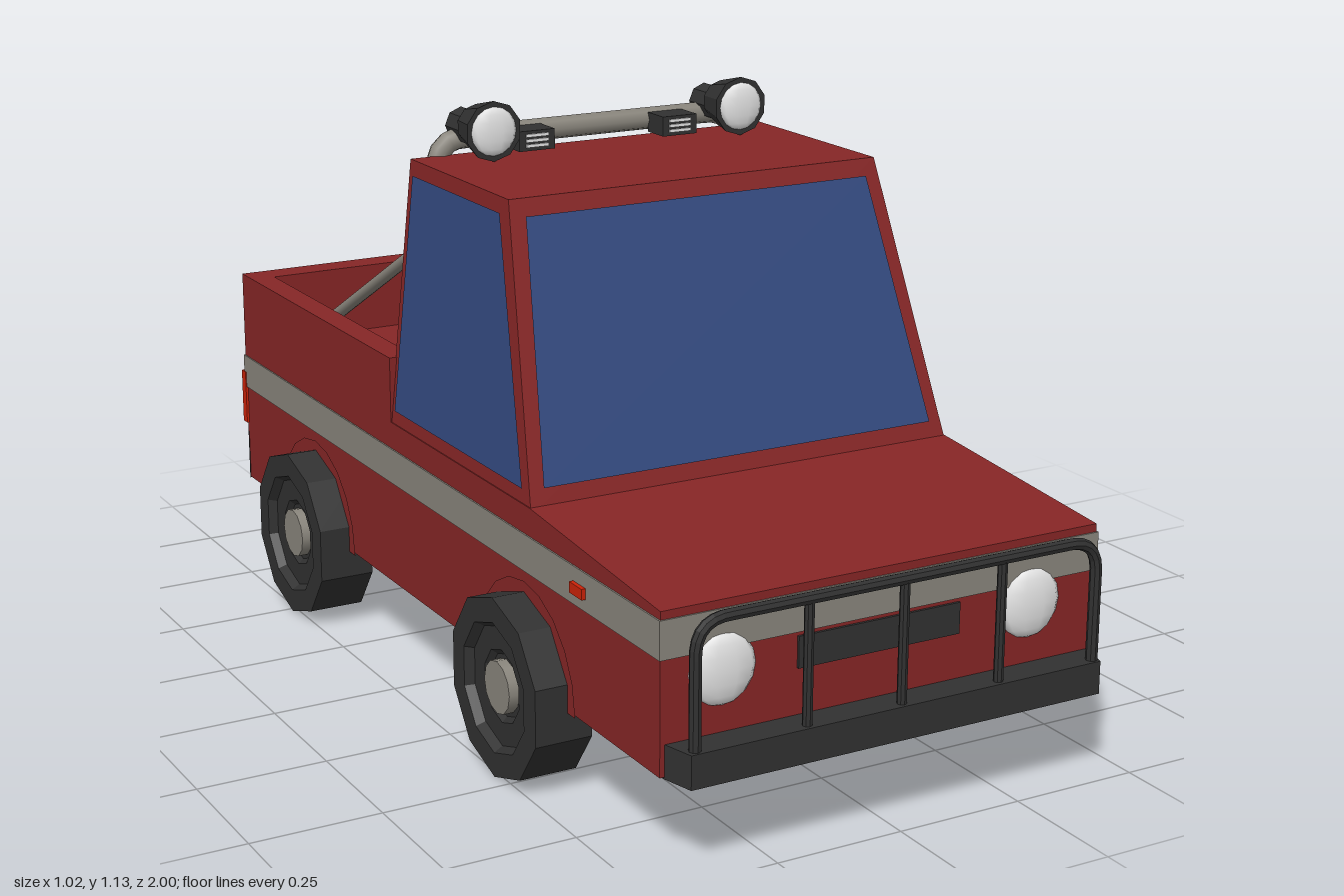
import * as THREE from 'three';

const material = (name, color, extra = {}) => {
  const m = new THREE.MeshStandardMaterial({ color, ...extra });
  m.name = name;
  return m;
};

export function createModel() {
  const truck = new THREE.Group();
  truck.name = 'pickupTruck';
  const red = material('bodyRed', 0x862626, { flatShading: true });
  const grey = material('steelGrey', 0x89857c);
  const black = material('rubberBlack', 0x313131, { flatShading: true });
  const glass = material('windowBlue', 0x33497f, { side: THREE.DoubleSide });
  const lens = material('lampWhite', 0xe6e6e6);
  const lamp = material('lampRed', 0xcc2208);
  const plate = material('plateGrey', 0x9c9c96);

  const add = (name, geometry, mat, parent = truck) => {
    const mesh = new THREE.Mesh(geometry, mat);
    mesh.name = name;
    parent.add(mesh);
    return mesh;
  };
  // box given by its limits on each axis
  const box = (name, mat, [x0, x1], [y0, y1], [z0, z1]) => add(name,
    new THREE.BoxGeometry(x1 - x0, y1 - y0, z1 - z0)
      .translate((x0 + x1) / 2, (y0 + y1) / 2, (z0 + z1) / 2), mat);
  // box whose corners are moved by a rule
  const shapedBox = (name, mat, rule) => {
    const g = new THREE.BoxGeometry(1, 1, 1);
    const p = g.attributes.position;
    for (let i = 0; i < p.count; i++) {
      p.setXYZ(i, ...rule(Math.sign(p.getX(i)), p.getY(i) > 0, p.getZ(i) > 0));
    }
    g.computeVertexNormals();
    return add(name, g, mat);
  };
  const quad = (name, mat, corners) => {
    const g = new THREE.BufferGeometry();
    g.setAttribute('position', new THREE.Float32BufferAttribute(corners.flat(), 3));
    g.setIndex([0, 1, 2, 0, 2, 3]);
    g.computeVertexNormals();
    return add(name, g, mat);
  };
  // tube along straight runs with rounded corners
  const tube = (name, mat, points, radius, bend = 0.05) => {
    const pts = points.map((p) => new THREE.Vector3(...p));
    const path = new THREE.CurvePath();
    let from = pts[0];
    for (let i = 1; i < pts.length - 1; i++) {
      const a = pts[i].clone().add(pts[i - 1].clone().sub(pts[i]).setLength(bend));
      const b = pts[i].clone().add(pts[i + 1].clone().sub(pts[i]).setLength(bend));
      path.add(new THREE.LineCurve3(from, a));
      path.add(new THREE.QuadraticBezierCurve3(a, pts[i], b));
      from = b;
    }
    path.add(new THREE.LineCurve3(from, pts[pts.length - 1]));
    return add(name, new THREE.TubeGeometry(path, pts.length > 2 ? 80 : 1, radius, 8), mat);
  };
  // cylinder pointing along z
  const disc = (name, mat, x, y, z0, z1, rBack, rFront, sides = 10) => add(name,
    new THREE.CylinderGeometry(rFront, rBack, z1 - z0, sides)
      .rotateX(Math.PI / 2).translate(x, y, (z0 + z1) / 2), mat);

  // lower body, extruded across the width from its side profile
  const profile = new THREE.Shape([
    [-0.94, 0.174], [0.88, 0.174], [0.88, 0.49], [0.115, 0.49],
    [0.115, 0.505], [-0.478, 0.505], [-0.94, 0.467],
  ].map(([z, y]) => new THREE.Vector2(z, y)));
  add('lowerBody', new THREE.ExtrudeGeometry(profile, { depth: 0.89, bevelEnabled: false })
    .translate(0, 0, -0.445).rotateY(Math.PI / 2), red);
  box('bodyStripe', grey, [-0.448, 0.448], [0.382, 0.452], [-0.883, 0.943]);

  // cargo bed walls
  for (const s of [-1, 1]) {
    box('bedSide', red, s < 0 ? [-0.445, -0.395] : [0.395, 0.445], [0.485, 0.634], [-0.88, -0.11]);
  }
  box('tailgate', red, [-0.396, 0.396], [0.485, 0.634], [-0.88, -0.82]);

  // cab and windows
  const cabX = (y) => 0.443 - 0.054 * (y - 0.505) / 0.513;
  const frontZ = (y) => 0.478 - 0.181 * (y - 0.505) / 0.513;
  shapedBox('cab', red, (sx, up, front) => {
    const y = up ? 1.018 : 0.49;
    return [sx * cabX(y), y, front ? frontZ(y) : -0.115];
  });
  const pane = (x, y) => [x, y, frontZ(y) + 0.004];
  quad('windshield', glass, [pane(-0.413, 0.535), pane(0.413, 0.535), pane(0.362, 0.987), pane(-0.362, 0.987)]);
  for (const s of [-1, 1]) {
    const side = (z, y) => [s * (cabX(y) + 0.004), y, z];
    const corners = [side(0.447, 0.532), side(-0.093, 0.532), side(-0.093, 0.99), side(0.275, 0.99)];
    quad('sideWindow', glass, s > 0 ? corners : corners.reverse());
  }
  quad('rearWindow', glass, [[0.205, 0.765, -0.119], [-0.205, 0.765, -0.119],
    [-0.205, 0.916, -0.119], [0.205, 0.916, -0.119]]);

  // wheels with recessed faces, plus arches
  const tyre = new THREE.LatheGeometry([
    [0, 0.4], [0.172, 0.4], [0.172, 0.512], [0.125, 0.512], [0.115, 0.495], [0.07, 0.495], [0.06, 0.485], [0, 0.485],
  ].map(([r, h]) => new THREE.Vector2(r, h)), 10).rotateY(Math.PI / 2).rotateZ(-Math.PI / 2);
  const hub = new THREE.CylinderGeometry(0.05, 0.05, 0.04, 12).rotateZ(Math.PI / 2).translate(0.485, 0, 0);
  const arch = new THREE.CircleGeometry(0.192, 10, 0, Math.PI).rotateY(Math.PI / 2).translate(0.449, 0, 0);
  for (const z of [0.46, -0.487]) {
    for (const s of [-1, 1]) {
      const wheel = new THREE.Group();
      wheel.name = z > 0 ? 'frontWheel' : 'rearWheel';
      wheel.position.set(0, 0.172, z);
      if (s < 0) wheel.rotation.y = Math.PI;
      add('tyre', tyre, black, wheel);
      add('hub', hub, grey, wheel);
      add('wheelArch', arch, red, wheel);
      truck.add(wheel);
    }
  }

  // bumpers, narrower at their outer faces
  shapedBox('frontBumper', black, (sx, up, front) =>
    [sx * (front ? 0.42 : 0.437), up ? 0.232 : 0.17, front ? 1 : 0.935]);
  shapedBox('rearBumper', black, (sx, up, front) =>
    [sx * (front ? 0.447 : 0.41), up ? 0.278 : 0.172, front ? -0.875 : -0.97]);

  // front guard, grille and headlights
  tube('guardFrame', black, [[-0.405, 0.22, 0.985], [-0.405, 0.458, 0.985],
    [0.411, 0.458, 0.985], [0.411, 0.22, 0.985]], 0.011, 0.06);
  for (const x of [-0.187, 0.004, 0.207]) {
    tube('guardBar', black, [[x, 0.22, 0.985], [x, 0.458, 0.985]], 0.009);
  }
  box('grille', black, [-0.18, 0.15], [0.317, 0.375], [0.935, 0.945]);
  for (const x of [-0.327, 0.302]) {
    add('headlight', new THREE.SphereGeometry(0.065, 10, 8).scale(1, 1, 0.28).translate(x, 0.345, 0.94), lens);
  }

  // tail lights, reflectors and side markers
  for (const s of [-1, 1]) {
    const span = (a, b) => (s > 0 ? [a, b] : [-b, -a]);
    box('tailLight', lamp, span(0.415, 0.45), [0.3, 0.415], [-0.893, -0.872]);
    box('rearReflector', lamp, span(0.275, 0.345), [0.192, 0.215], [-0.977, -0.965]);
    box('sideMarker', lamp, span(0.44, 0.456), [0.405, 0.425], [0.645, 0.69]);
  }
  box('sideHandle', black, [0.44, 0.458], [0.355, 0.377], [0.14, 0.25]);

  // rear plate
  box('plateFrame', grey, [-0.065, 0.042], [0.17, 0.25], [-0.998, -0.99]);
  box('plateFace', plate, [-0.048, 0.025], [0.184, 0.236], [-1, -0.997]);
  box('plateMount', black, [-0.03, 0.01], [0.19, 0.23], [-0.991, -0.965]);

  // roll bar with braces
  tube('rollBar', grey, [[-0.33, 0.48, -0.126], [-0.33, 1.047, -0.126],
    [0.33, 1.047, -0.126], [0.33, 0.48, -0.126]], 0.022, 0.06);
  for (const x of [-0.33, 0.335]) {
    tube('rollBarBrace', grey, [[x, 0.865, -0.12], [x, 0.495, -0.8]], 0.013);
  }

  // roof lamps
  for (const x of [-0.265, 0.278]) {
    disc('spotlightMount', black, x, 1.068, -0.15, -0.08, 0.034, 0.034, 8);
    disc('spotlightHousing', black, x, 1.077, -0.085, -0.008, 0.04, 0.058);
    add('spotlightLens', new THREE.SphereGeometry(0.047, 10, 8).scale(1, 1, 0.25).translate(x, 1.077, -0.008), lens);
  }
  for (const x of [-0.152, 0.164]) {
    box('roofLamp', black, [x - 0.038, x + 0.038], [1.023, 1.062], [-0.11, -0.05]);
    for (const y of [1.033, 1.043, 1.053]) {
      box('roofLampSlot', lens, [x - 0.024, x + 0.024], [y - 0.003, y + 0.003], [-0.055, -0.047]);
    }
  }
  return truck;
}
